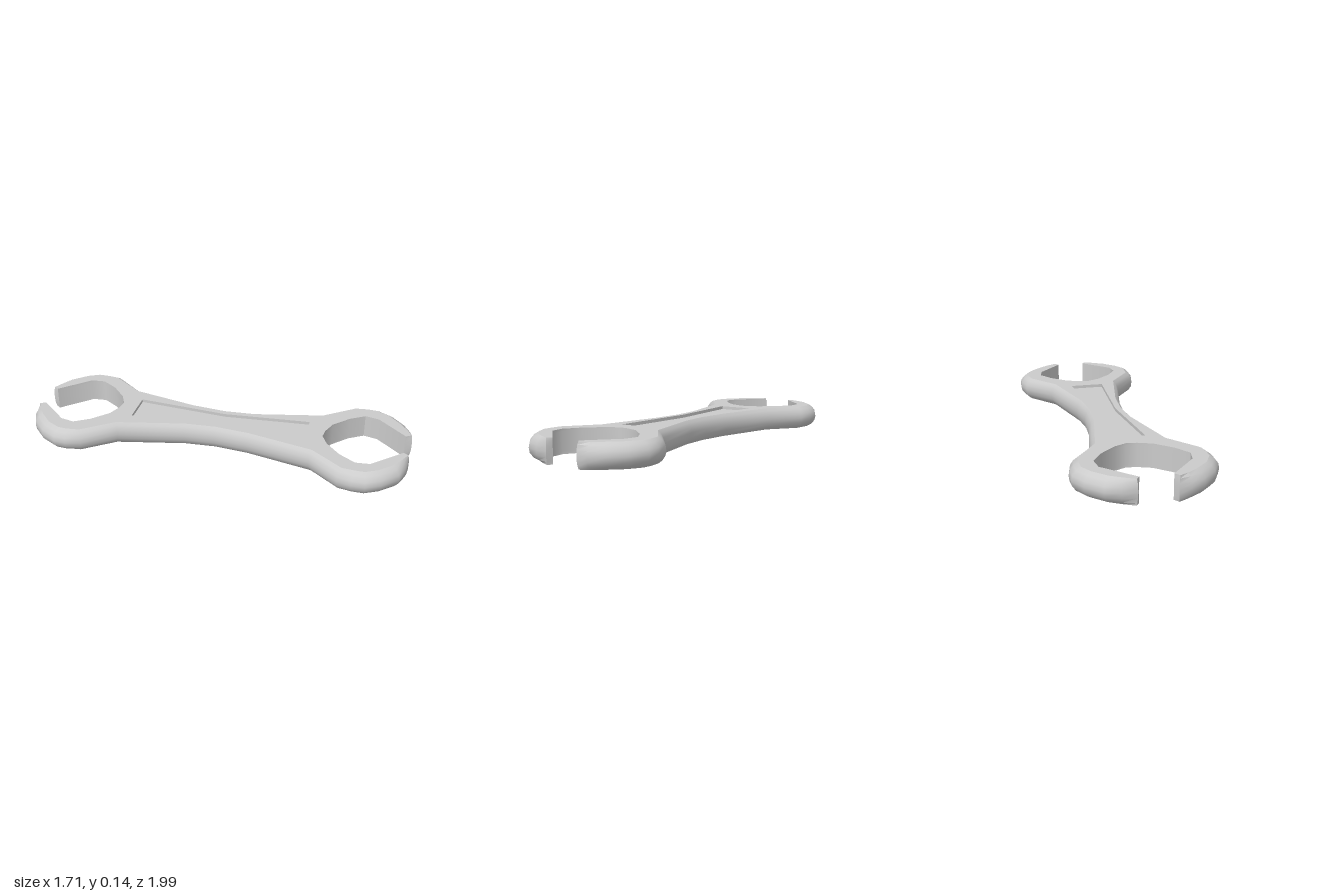
import * as THREE from 'three';
import { toCreasedNormals } from 'three/addons/utils/BufferGeometryUtils.js';

const HEIGHT = 0.135;

// Half outline in plan: x, z, and how far the edge rounds inward at top and bottom.
const HALF = [
  [0.215, 0.06, 0.03], [0.515, 0.31, 0.03], [0.73, 0.36, 0.04], [0.80, 0.415, 0.05],
  [0.84, 0.475, 0.05], [0.857, 0.58, 0.05], [0.84, 0.695, 0.05], [0.80, 0.77, 0.035],
  // first jaw tip, opening, second jaw tip
  [0.75, 0.81, 0.008], [0.715, 0.79, 0], [0.73, 0.57, 0], [0.695, 0.495, 0],
  [0.60, 0.46, 0], [0.475, 0.447, 0], [0.395, 0.47, 0], [0.345, 0.50, 0],
  [0.31, 0.57, 0], [0.29, 0.69, 0], [0.30, 0.80, 0], [0.355, 0.86, 0],
  [0.58, 0.895, 0], [0.59, 0.93, 0.008],
  [0.525, 0.97, 0.035], [0.445, 0.995, 0.05], [0.33, 0.975, 0.05], [0.245, 0.935, 0.05],
  [0.20, 0.875, 0.05], [0.167, 0.80, 0.04], [0.17, 0.575, 0.03], [0.005, 0.235, 0.03],
  [-0.10, 0.07, 0.03],
];
const HALF_PANEL = [[0.055, -0.025], [0.39, 0.345], [0.235, 0.465]];

// Repeat a half outline turned by 180 degrees.
const turned = (half) => [...half, ...half.map(([x, z, w]) => [-x, -z, w])];

// Move each outline point inward along its mitre by a share of its rounding.
function insetRing(points, share) {
  const n = points.length;
  const normal = (a, b) => new THREE.Vector2(b[1] - a[1], a[0] - b[0]).normalize();
  return points.map((p, i) => {
    const n1 = normal(points[(i + n - 1) % n], p);
    const n2 = normal(p, points[(i + 1) % n]);
    const k = (p[2] * share) / Math.max(0.5, 1 + n1.dot(n2));
    return [p[0] - (n1.x + n2.x) * k, p[1] - (n1.y + n2.y) * k];
  });
}

function toGeometry(positions, crease) {
  const g = new THREE.BufferGeometry();
  g.setAttribute('position', new THREE.Float32BufferAttribute(positions, 3));
  g.computeVertexNormals();
  return toCreasedNormals(g, crease);
}

// Walls through stacked rings, each { ring, y }, from bottom to top.
function walls(layers, inward = false) {
  const out = [];
  for (let l = 0; l < layers.length - 1; l++) {
    const lo = layers[l], hi = layers[l + 1], n = lo.ring.length;
    for (let i = 0; i < n; i++) {
      const j = (i + 1) % n;
      const at = (layer, k) => [layer.ring[k][0], layer.y, layer.ring[k][1]];
      const a = at(lo, i), b = at(lo, j), c = at(hi, j), d = at(hi, i);
      out.push(...(inward ? [a, b, d, b, c, d] : [a, d, b, b, d, c]).flat());
    }
  }
  return toGeometry(out, 0.7);
}

// Flat cap at height y, facing up or down, with an optional hole.
function cap(ring, y, up, hole) {
  const v = (r) => r.map(([x, z]) => new THREE.Vector2(x, z));
  const holes = hole ? [v(hole)] : [];
  const outer = v(ring);
  const faces = THREE.ShapeUtils.triangulateShape(outer, holes);
  const all = [...outer, ...holes.flat()];
  const out = [];
  for (const [i, j, k] of faces) {
    const a = all[i], b = all[j], c = all[k];
    const facesDown = (b.x - a.x) * (c.y - a.y) - (b.y - a.y) * (c.x - a.x) > 0;
    for (const p of facesDown === up ? [a, c, b] : [a, b, c]) out.push(p.x, y, p.y);
  }
  return toGeometry(out, 0.1);
}

export function createModel() {
  const model = new THREE.Group();
  model.name = 'doubleEndedSpanner';
  const material = new THREE.MeshStandardMaterial({ color: 0xcccccc });
  const add = (name, geometry) => {
    const mesh = new THREE.Mesh(geometry, material);
    mesh.name = name;
    model.add(mesh);
  };

  const outline = turned(HALF);
  const panel = turned(HALF_PANEL);
  const floor = HEIGHT - 0.018;

  // Rounded rim, upright inside the jaws
  const layers = [[0, 1], [0.015, 0.5], [0.04, 0.1], [HEIGHT / 2, 0], [0.095, 0.1], [0.12, 0.5], [HEIGHT, 1]]
    .map(([y, share]) => ({ ring: insetRing(outline, share), y }));
  add('rim', walls(layers));

  // Flat faces, the upper one cut out for the handle recess
  add('underside', cap(layers[0].ring, 0, false));
  add('topFace', cap(layers[layers.length - 1].ring, HEIGHT, true, panel));

  // Sunken panel in the handle
  add('recessWalls', walls([{ ring: panel, y: floor }, { ring: panel, y: HEIGHT }], true));
  add('recessFloor', cap(panel, floor, true));

  return model;
}
